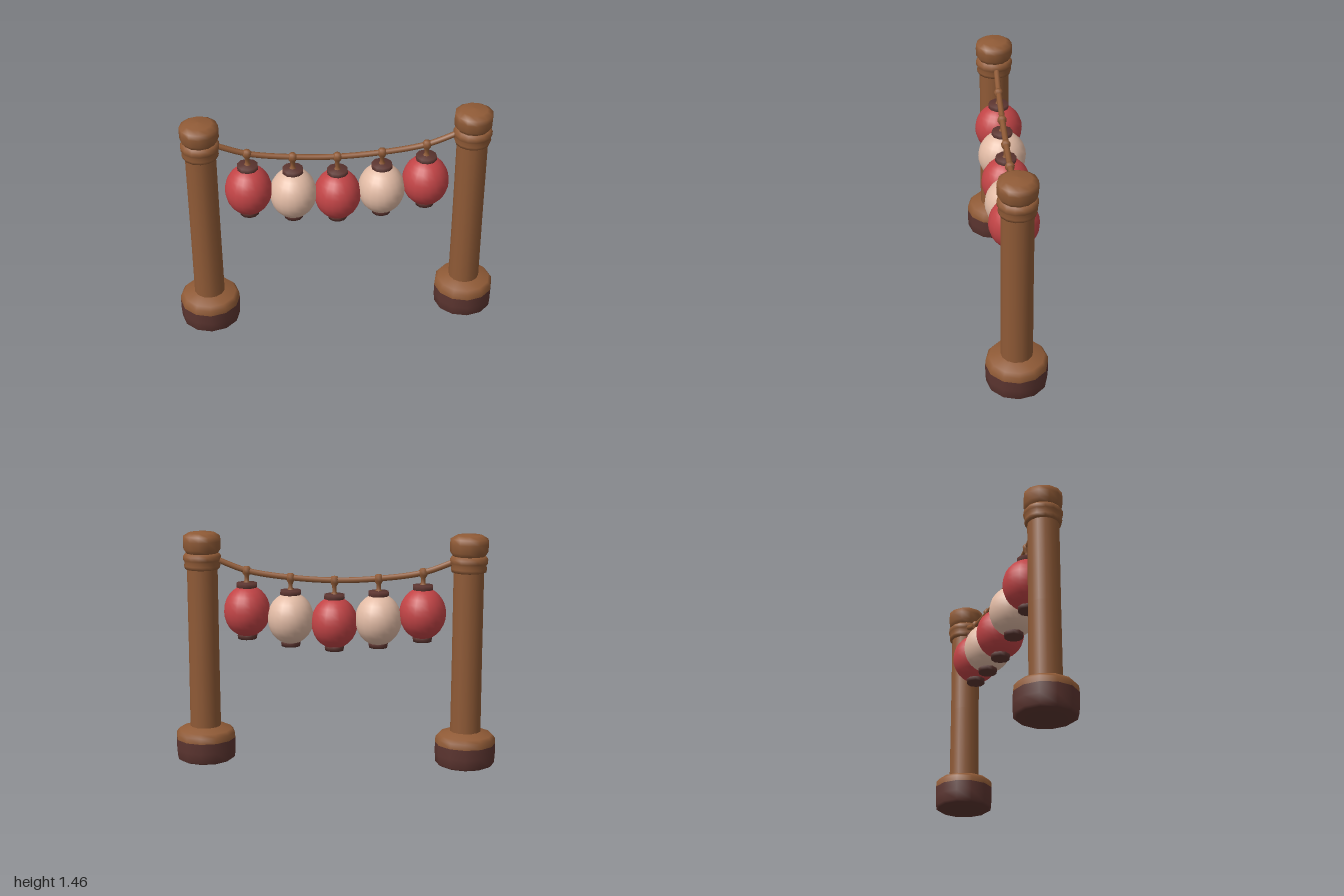
import * as THREE from 'three';

const mat = (name, color) => Object.assign(new THREE.MeshStandardMaterial({ color }), { name });

export function createModel() {
  const wood = mat('wood brown', 0x8f5a36);
  const dark = mat('dark brown', 0x5c3530);
  const red = mat('lantern red', 0xc24446);
  const cream = mat('lantern cream', 0xe2bba5);

  const model = new THREE.Group();
  model.name = 'lanternGarland';

  // Turned part from [radius, height] pairs, listed bottom to top
  const lathe = (parent, name, points, material, sides) => {
    const profile = points.map(([r, y]) => new THREE.Vector2(r, y));
    const mesh = new THREE.Mesh(new THREE.LatheGeometry(profile, sides), material);
    mesh.name = name;
    parent.add(mesh);
    return mesh;
  };

  // Two posts, each with a two-tone foot, a shaft, a lashing and a cap
  for (const side of [-1, 1]) {
    const post = new THREE.Group();
    post.name = side < 0 ? 'rightPost' : 'leftPost';
    post.position.x = side * 0.815;
    lathe(post, 'footBottom',
      [[0, 0], [0.09, 0.008], [0.165, 0.018], [0.183, 0.03], [0.187, 0.09], [0.187, 0.155]], dark, 12);
    lathe(post, 'footTop',
      [[0.187, 0.155], [0.184, 0.19], [0.165, 0.212], [0.09, 0.235]], wood, 12);
    lathe(post, 'shaft', [[0.096, 0.2], [0.094, 0.7], [0.094, 1.26]], wood, 14);
    lathe(post, 'lashing',
      [[0.088, 1.225], [0.106, 1.23], [0.112, 1.25], [0.106, 1.272], [0.116, 1.285],
        [0.117, 1.308], [0.104, 1.325], [0.085, 1.33]], wood, 14);
    lathe(post, 'cap',
      [[0.09, 1.315], [0.1, 1.33], [0.115, 1.352], [0.117, 1.4], [0.114, 1.432],
        [0.08, 1.452], [0, 1.46]], wood, 12);
    model.add(post);
  }

  // Sagging rope between the posts
  const ropePoints = [[-0.75, 1.3], [-0.54, 1.222], [-0.27, 1.182], [0, 1.168],
    [0.27, 1.182], [0.54, 1.222], [0.75, 1.3]];
  const curve = new THREE.CatmullRomCurve3(ropePoints.map(([x, y]) => new THREE.Vector3(x, y, -0.008)));
  const rope = new THREE.Mesh(new THREE.TubeGeometry(curve, 40, 0.018, 8), wood);
  rope.name = 'rope';
  model.add(rope);

  // Lanterns: x, body centre height, rope height
  const lanterns = [
    [-0.54, 0.97, 1.222], [-0.27, 0.928, 1.182], [0, 0.905, 1.168],
    [0.27, 0.928, 1.182], [0.54, 0.97, 1.222],
  ];
  lanterns.forEach(([x, y, ropeY], i) => {
    const lantern = new THREE.Group();
    lantern.name = `lantern${i + 1}`;
    lantern.position.set(x, y, -0.006);

    const body = new THREE.Mesh(new THREE.SphereGeometry(1, 20, 14), i % 2 ? cream : red);
    body.name = 'paperBody';
    body.scale.set(0.143, 0.16, 0.15);
    lantern.add(body);

    lathe(lantern, 'topCollar',
      [[0.05, 0.125], [0.056, 0.145], [0.065, 0.15], [0.064, 0.176], [0, 0.18]], dark, 10);
    lathe(lantern, 'bottomCollar',
      [[0, -0.176], [0.058, -0.174], [0.062, -0.152], [0.056, -0.14]], dark, 10);

    // Hanging cord and the knot around the rope
    const top = ropeY - y;
    lathe(lantern, 'hanger',
      [[0.024, 0.172], [0.013, 0.192], [0.014, top - 0.035], [0.027, top - 0.014],
        [0.029, top + 0.008], [0.019, top + 0.024], [0, top + 0.028]], wood, 8);
    model.add(lantern);
  });

  return model;
}
